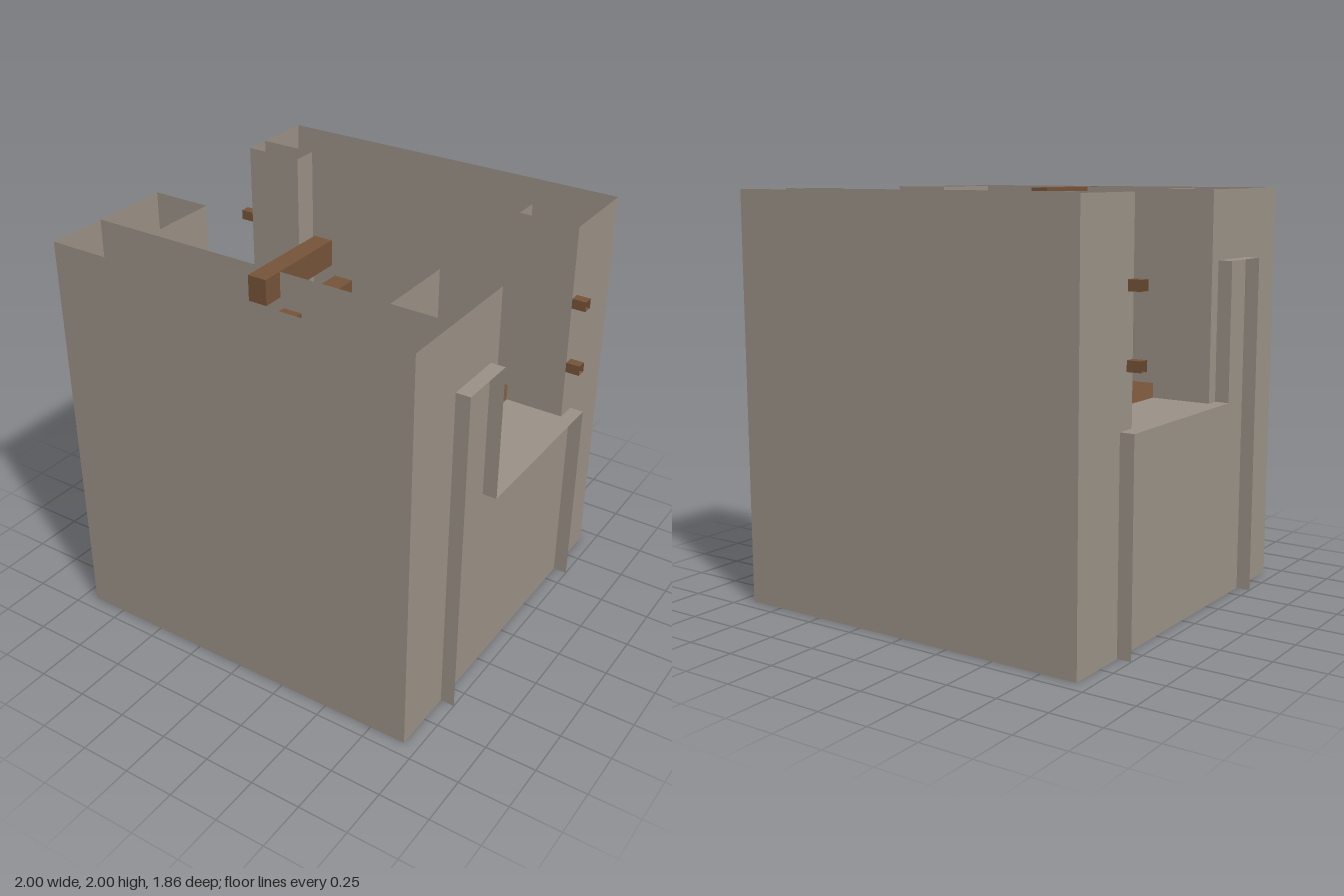
import * as THREE from 'three';

const OUT = 0.93, IN = 0.63;       // outer and inner wall faces
const FLOOR = 1, TOP = 2;          // walkway level and wall top
const GAP_FRONT = 0.235, GAP_BACK = -0.5; // side opening, along z

export function createModel() {
  const group = new THREE.Group();
  const stone = new THREE.MeshStandardMaterial({ color: 0x9b9287, side: THREE.DoubleSide });
  stone.name = 'stone';
  const wood = new THREE.MeshStandardMaterial({ color: 0x765438, side: THREE.DoubleSide });
  wood.name = 'wood';

  const add = (name, geometry, material) => {
    const mesh = new THREE.Mesh(geometry, material);
    mesh.name = name;
    group.add(mesh);
    return mesh;
  };

  // Open ribbon: a polyline swept along one offset vector, flat shaded.
  const ribbon = (points, offset) => {
    const o = new THREE.Vector3(...offset);
    const pts = points.map((p) => new THREE.Vector3(...p));
    const corners = [];
    for (let i = 0; i < pts.length - 1; i++) {
      const p = pts[i], q = pts[i + 1];
      const p2 = p.clone().add(o), q2 = q.clone().add(o);
      corners.push(p, q, q2, p, q2, p2);
    }
    const g = new THREE.BufferGeometry().setFromPoints(corners);
    g.computeVertexNormals();
    return g;
  };
  const ordered = (points, flip) => (flip ? points.reverse() : points);

  // Front and back: tall outer face and shorter inner face, open on top
  for (const t of [1, -1]) {
    const side = t > 0 ? 'front' : 'back';
    add(side + 'OuterWall',
      ribbon([[-t * OUT, 0, t * OUT], [t * OUT, 0, t * OUT]], [0, TOP, 0]), stone);
    add(side + 'InnerWall',
      ribbon([[t * OUT, FLOOR, t * IN], [-t * OUT, FLOOR, t * IN]], [0, TOP - FLOOR, 0]), stone);
  }

  for (const s of [1, -1]) {
    const side = s > 0 ? 'left' : 'right';

    // Side wall with a deep notch
    const outline = [
      [OUT, 0], [OUT, TOP], [GAP_FRONT, TOP], [GAP_FRONT, FLOOR],
      [GAP_BACK, FLOOR], [GAP_BACK, TOP], [-OUT, TOP], [-OUT, 0],
    ].map(([z, y]) => new THREE.Vector2(-s * z, y));
    const wall = new THREE.ShapeGeometry(new THREE.Shape(outline));
    wall.rotateY(s * Math.PI / 2).translate(s * OUT, 0, 0);
    add(side + 'SideWall', wall, stone);

    // Sill at the bottom of the notch
    const [x0, x1] = s > 0 ? [IN, OUT] : [-OUT, -IN];
    add(side + 'Sill',
      ribbon([[x0, FLOOR, GAP_FRONT], [x1, FLOOR, GAP_FRONT]], [0, 0, GAP_BACK - GAP_FRONT]), stone);

    // Jambs either side of the notch
    for (const t of [1, -1]) {
      const z = t > 0 ? GAP_FRONT : GAP_BACK;
      const path = [[s * OUT, FLOOR, z], [s * IN, FLOOR, z], [s * IN, FLOOR, t * IN]];
      add(side + (t > 0 ? 'Front' : 'Back') + 'Jamb',
        ribbon(ordered(path, s * t < 0), [0, TOP - FLOOR, 0]), stone);
    }

    // Thin raised edging around the outside of the notch
    const edging = [[0.6, 0], [0.6, 1.67], [0.3, 1.67], [0.3, FLOOR], [-0.6, FLOOR], [-0.6, 0]]
      .map(([z, y]) => [s, y, z]);
    add(side + 'Edging', ribbon(ordered(edging, s < 0), [-s * 0.07, 0, 0]), stone);

    // Hollow wooden pegs
    for (const y of [1.25, 1.59]) {
      const peg = [[-0.5, y], [-0.5, y + 0.05], [-0.55, y + 0.05], [-0.55, y], [-0.5, y]]
        .map(([z, h]) => [s, h, z]);
      add(side + 'Peg', ribbon(ordered(peg, s < 0), [-s * 0.07, 0, 0]), wood);
    }
  }

  // Wooden floor
  add('floor', ribbon([[-IN, FLOOR, IN], [IN, FLOOR, IN]], [0, 0, -2 * IN]), wood);

  // Floating stair treads, climbing towards -x; the lowest is wider
  for (let i = 0; i < 6; i++) {
    const width = i === 5 ? 0.2 : 0.092;
    const tread = add('stairTread', new THREE.BoxGeometry(width, 0.12, 0.49), wood);
    tread.position.set(-0.01 + i * 0.108 + width / 2, TOP - i / 6 - 0.06, 0.485);
  }

  return group;
}
